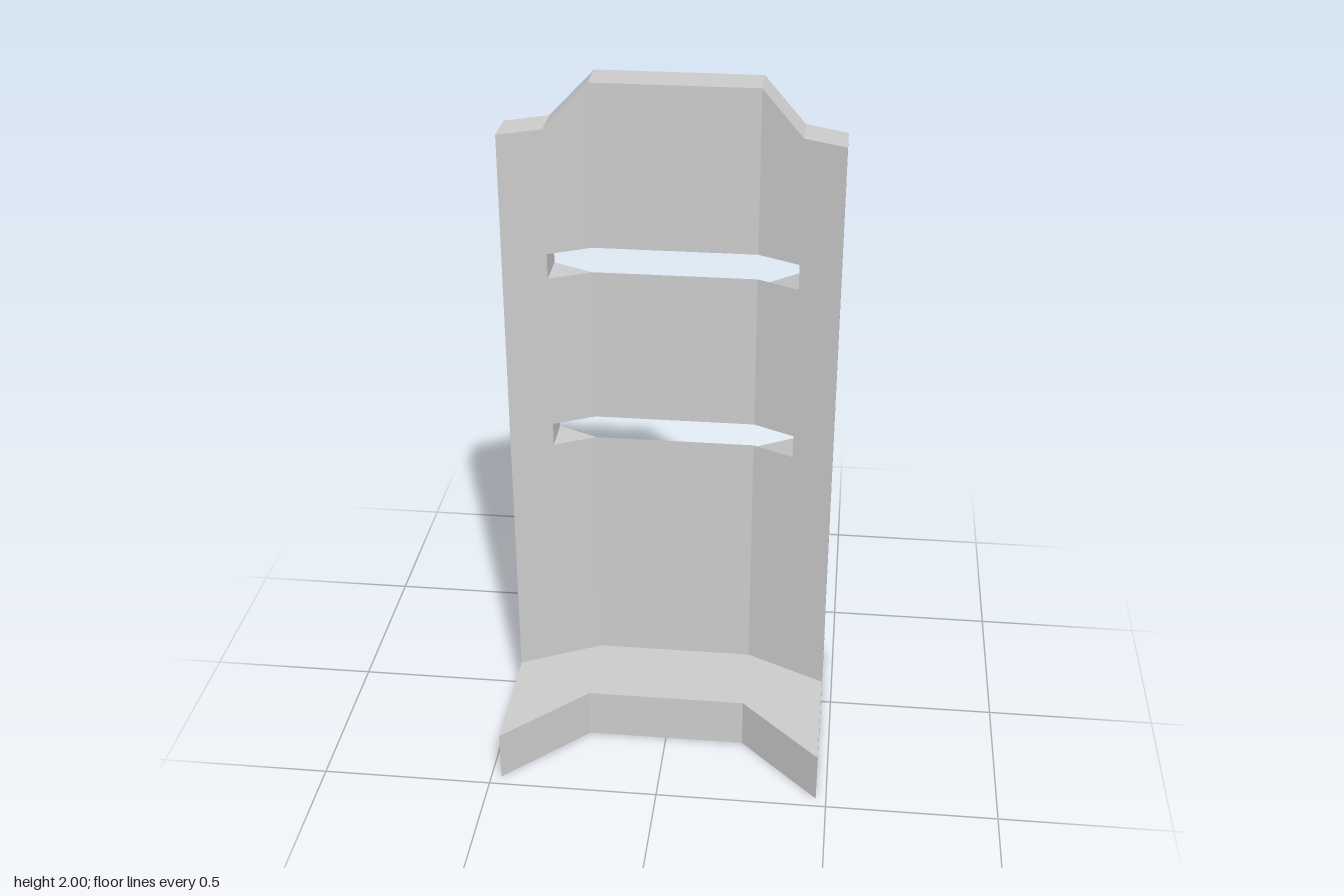
import * as THREE from 'three';
import { mergeGeometries } from 'three/addons/utils/BufferGeometryUtils.js';

const HALF = 0.47, FOLD = 0.235, SLOT = 0.353; // half width, fold line, slot end
const BASE = 0.152, SHOULDER = 1.885, TOP = 2;
const FRONT = -0.017, DEPTH = 0.117, LIP = 0.07;
const SLOTS = [[0.91, 0.98], [1.445, 1.52]]; // bottom and top of each slot

const shapeOf = (points) => new THREE.Shape(points.map(([x, y]) => new THREE.Vector2(x, y)));
const extrude = (points, depth) =>
  new THREE.ExtrudeGeometry(shapeOf(points), { depth, bevelEnabled: false });

// Flat panels in the xy plane, meeting along the two fold lines
function flatPanels() {
  const panels = [];
  const levels = [BASE, ...SLOTS.flat(), TOP];
  for (let i = 0; i < levels.length; i += 2) {
    const [a, b] = [levels[i], levels[i + 1]];
    panels.push(extrude([[-FOLD, a], [FOLD, a], [FOLD, b], [-FOLD, b]], DEPTH));
  }
  for (const s of [-1, 1]) {
    const notches = [...SLOTS].reverse().flatMap(([a, b]) =>
      [[FOLD, b], [SLOT, b], [SLOT, a], [FOLD, a]]);
    const outline = [[FOLD, BASE], [HALF, BASE], [HALF, SHOULDER], [SLOT, SHOULDER],
      [FOLD, TOP], ...notches];
    panels.push(extrude(outline.map(([x, y]) => [s * x, y]), DEPTH));
  }
  return mergeGeometries(panels);
}

// Folds the wings forward, slopes the slot sills and drops the hidden joint faces
function wallGeometry() {
  const p = flatPanels().attributes.position;
  const kept = [];
  for (let i = 0; i < p.count; i += 3) {
    const tri = [0, 1, 2].map((k) => new THREE.Vector3().fromBufferAttribute(p, i + k));
    const joint = tri.every((v) => Math.abs(Math.abs(v.x) - FOLD) < 1e-4) &&
      tri.every((v) => v.x * tri[0].x > 0);
    if (joint) continue;
    for (const v of tri) {
      const ax = Math.abs(v.x);
      const sill = SLOTS.some(([a]) => Math.abs(v.y - a) < 1e-4);
      if (sill && v.z < DEPTH / 2 && ax < FOLD + 1e-3) v.y -= LIP;
      v.z += FRONT - DEPTH + Math.max(0, ax - FOLD) * 0.5;
      kept.push(v.x, v.y, v.z);
    }
  }
  const g = new THREE.BufferGeometry();
  g.setAttribute('position', new THREE.Float32BufferAttribute(kept, 3));
  g.computeVertexNormals();
  return g;
}

export function createModel() {
  const group = new THREE.Group();
  const material = new THREE.MeshStandardMaterial({ color: 0xcccccc, flatShading: true });

  // Chevron foot, drawn in plan with y = -z and laid flat
  const half = [[HALF, -0.467], [HALF, 0.237], [FOLD, 0.47]];
  const plan = [[FOLD, -0.233], ...half];
  const mirrored = plan.map(([x, y]) => [-x, y]).reverse();
  const base = new THREE.Mesh(extrude([...plan, ...mirrored], BASE).rotateX(-Math.PI / 2), material);
  base.name = 'base';

  // Folded upright with two slots
  const wall = new THREE.Mesh(wallGeometry(), material);
  wall.name = 'slottedWall';

  group.add(base, wall);
  return group;
}
